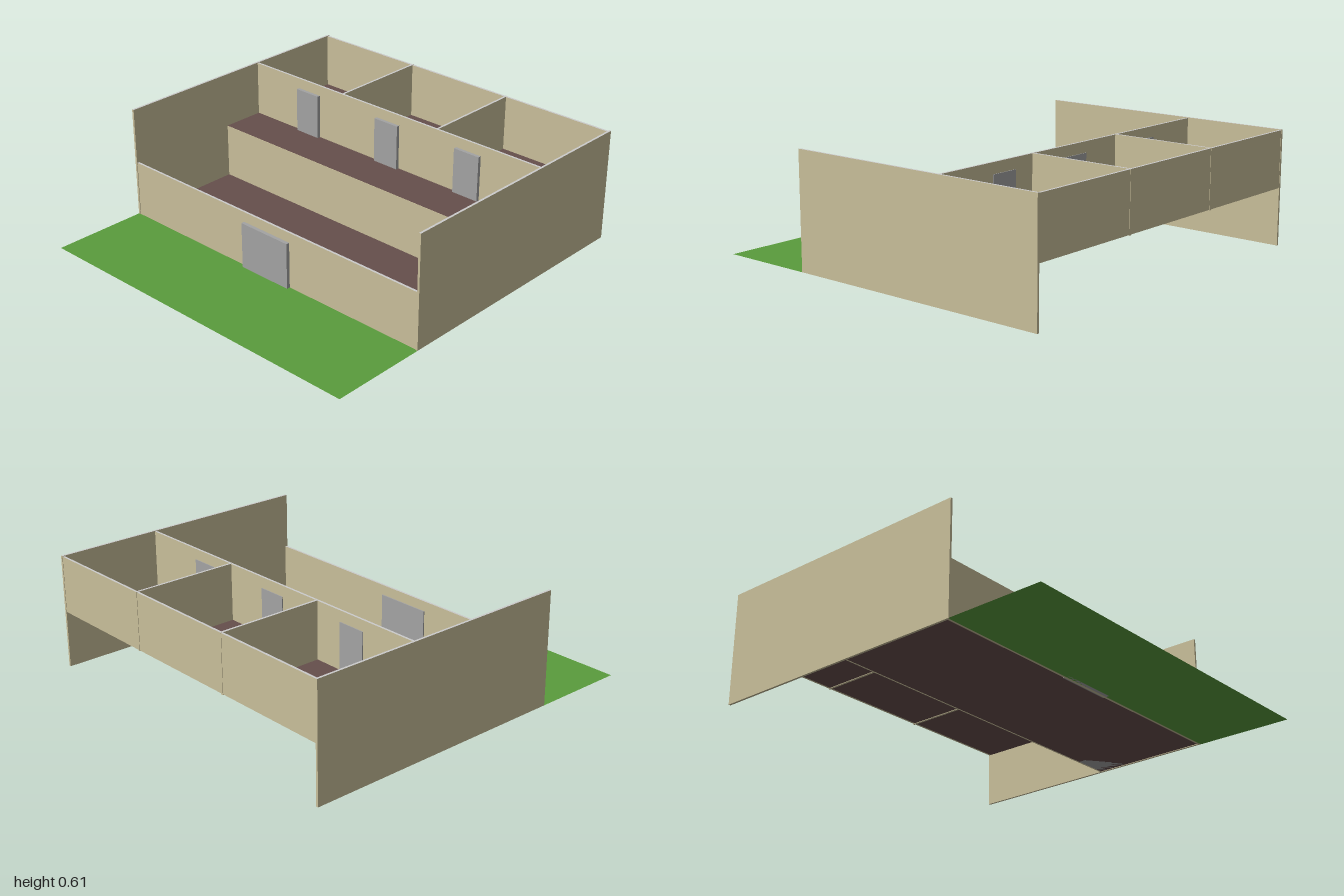
import * as THREE from 'three';

export function createModel() {
  const house = new THREE.Group();
  house.name = 'house';

  const mat = (color) => new THREE.MeshStandardMaterial({ color, side: THREE.DoubleSide });
  const plaster = mat(0xc8be9a);
  const cap = mat(0xcccccc);
  const doorGrey = mat(0xa3a3a3);
  const floorBrown = mat(0x664f4c);
  const grass = mat(0x5a9c3c);

  // Box given by its limits on each axis
  function block(name, [x0, x1], [y0, y1], [z0, z1], material) {
    const mesh = new THREE.Mesh(new THREE.BoxGeometry(x1 - x0, y1 - y0, z1 - z0), material);
    mesh.position.set((x0 + x1) / 2, (y0 + y1) / 2, (z0 + z1) / 2);
    mesh.name = name;
    house.add(mesh);
  }

  // Plastered wall with a grey top edge
  const wallFaces = [plaster, plaster, cap, plaster, plaster, plaster];
  const wall = (name, x, y, z) => block(name, x, y, z, wallFaces);

  // Flat horizontal surface
  function sheet(name, y, [x0, x1], [z0, z1], material) {
    const geo = new THREE.PlaneGeometry(x1 - x0, z1 - z0).rotateX(-Math.PI / 2);
    const mesh = new THREE.Mesh(geo, material);
    mesh.position.set((x0 + x1) / 2, y, (z0 + z1) / 2);
    mesh.name = name;
    house.add(mesh);
  }

  const W = 0.98, T = 0.012, MID = 0.305, TOP = 0.61;
  const inner = [-W + T, W - T];

  // Ground and floors
  sheet('lawn', 0, [-W, W], [0.475, 1], grass);
  sheet('lowerFloor', 0.003, inner, [-0.175, 0.465], floorBrown);
  sheet('upperFloor', MID, inner, [-0.99, -0.175], floorBrown);

  // Outer walls
  for (const [name, x] of [['leftWall', [W - T, W]], ['rightWall', [-W, -W + T]]]) {
    wall(name, x, [0, TOP], [-1, 0.478]);
  }
  wall('frontWall', inner, [0, MID], [0.463, 0.475]);
  wall('backWall', inner, [MID, TOP - 0.003], [-0.998, -0.986]);

  // Step between the two levels
  block('riser', inner, [0, MID - 0.002], [-0.179, -0.175], plaster);

  // Room walls
  wall('corridorWall', inner, [MID, TOP - 0.003], [-0.43, -0.418]);
  for (const x of [-0.325, 0.325]) {
    wall('partition', [x - T / 2, x + T / 2], [MID - 0.003, TOP - 0.002], [-1, -0.428]);
  }

  // Doors
  for (const x of [-0.567, 0, 0.533]) {
    block('roomDoor', [x - 0.078, x + 0.078], [MID - 0.002, 0.55], [-0.434, -0.4], doorGrey);
  }
  block('frontDoor', [-0.157, 0.157], [0, 0.25], [0.457, 0.494], doorGrey);

  // Step block up to the upper floor
  block('stepBlock', [0.773, W - T], [0.003, 0.17], [-0.175, 0.008], doorGrey);

  return house;
}
